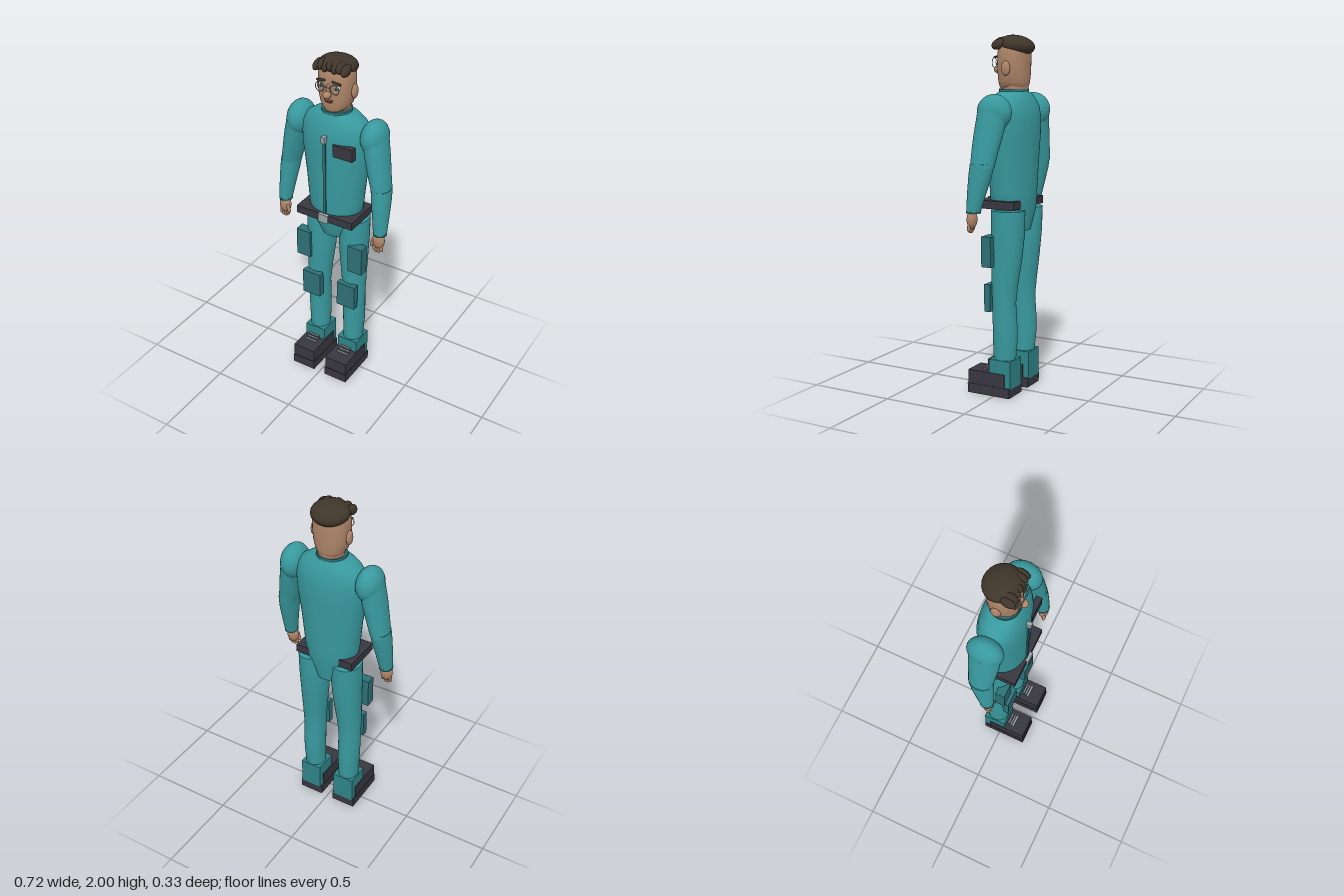
import * as THREE from 'three';

const mat = (name, color) => {
  const m = new THREE.MeshStandardMaterial({ color });
  m.name = name;
  return m;
};

export function createModel() {
  const model = new THREE.Group();
  model.name = 'uniformedMan';
  const teal = mat('teal cloth', 0x38999e);
  const midTeal = mat('cuff teal', 0x2f8488);
  const darkTeal = mat('dark teal', 0x2d7076);
  const skin = mat('skin', 0xae8568);
  const hairMat = mat('dark brown hair', 0x3f352a);
  const charcoal = mat('charcoal', 0x38363f);
  const grey = mat('light grey metal', 0x9aa5a8);
  const white = mat('eye white', 0xe4e4e0);
  const iris = mat('iris blue', 0x3a8a9a);
  const lip = mat('lip brown', 0x7a4a3e);

  const add = (name, geo, material, x = 0, y = 0, z = 0, parent = model) => {
    const m = new THREE.Mesh(geo, material);
    m.name = name;
    m.position.set(x, y, z);
    parent.add(m);
    return m;
  };
  // box given by its limits
  const box = (name, material, x0, x1, y0, y1, z0, z1) =>
    add(name, new THREE.BoxGeometry(Math.abs(x1 - x0), y1 - y0, z1 - z0), material,
      (x0 + x1) / 2, (y0 + y1) / 2, (z0 + z1) / 2);
  const ball = (name, material, x, y, z, rx, ry, rz, parent) => {
    const g = new THREE.SphereGeometry(1, 24, 16).scale(rx, ry, rz);
    return add(name, g, material, x, y, z, parent);
  };
  // closed skin over elliptical sections [y, cx, cz, rx, rz], listed upward
  const loft = (name, material, sections, power = 2, seg = 32) => {
    const pos = [], idx = [];
    const ring = ([y, cx, cz, rx, rz]) => {
      const start = pos.length / 3;
      for (let j = 0; j < seg; j++) {
        const a = (j / seg) * Math.PI * 2, c = Math.cos(a), s = Math.sin(a);
        pos.push(cx + rx * Math.sign(c) * Math.abs(c) ** (2 / power), y,
          cz + rz * Math.sign(s) * Math.abs(s) ** (2 / power));
      }
      return start;
    };
    const starts = sections.map(ring);
    for (let i = 0; i < starts.length - 1; i++) {
      for (let j = 0; j < seg; j++) {
        const k = (j + 1) % seg, p = starts[i], q = starts[i + 1];
        idx.push(p + j, q + j, p + k, q + j, q + k, p + k);
      }
    }
    [sections[0], sections[sections.length - 1]].forEach((sec, top) => {
      const r = ring(sec), c = pos.length / 3;
      pos.push(sec[1], sec[0], sec[2]);
      for (let j = 0; j < seg; j++) {
        const k = (j + 1) % seg;
        if (top) idx.push(c, r + k, r + j);
        else idx.push(c, r + j, r + k);
      }
    });
    const g = new THREE.BufferGeometry();
    g.setAttribute('position', new THREE.Float32BufferAttribute(pos, 3));
    g.setIndex(idx);
    g.computeVertexNormals();
    return add(name, g, material);
  };

  // torso running down into the pelvis
  loft('torso', teal, [
    [0.93, 0, -0.04, 0.085, 0.085], [1.06, 0, -0.03, 0.15, 0.12], [1.15, 0, -0.03, 0.163, 0.122],
    [1.3, 0, -0.032, 0.178, 0.125], [1.45, 0, -0.034, 0.2, 0.128], [1.55, 0, -0.035, 0.208, 0.127],
    [1.61, 0, -0.034, 0.2, 0.118], [1.65, 0, -0.033, 0.175, 0.103], [1.68, 0, -0.032, 0.13, 0.09],
    [1.695, 0, -0.032, 0.085, 0.08],
  ], 2, 48);
  loft('collar', darkTeal, [[1.685, 0, -0.032, 0.085, 0.083], [1.708, 0, -0.032, 0.083, 0.082]]);

  // belt, zip and badge
  box('belt', charcoal, -0.178, 0.178, 1.06, 1.105, -0.125, 0.105);
  box('buckle', grey, -0.03, 0.03, 1.057, 1.107, 0.1, 0.117);
  box('zip', darkTeal, -0.008, 0.008, 1.1, 1.56, 0.08, 0.1);
  box('zipPull', grey, -0.011, 0.011, 1.55, 1.587, 0.085, 0.115);
  box('chestBadge', charcoal, 0.05, 0.17, 1.478, 1.55, 0.06, 0.095);

  for (const s of [1, -1]) {
    const side = s > 0 ? 'left' : 'right';
    // legs
    loft(side + 'Leg', teal, [
      [0.15, s * 0.115, -0.035, 0.055, 0.062], [0.21, s * 0.115, -0.036, 0.058, 0.064],
      [0.32, s * 0.117, -0.04, 0.062, 0.071], [0.42, s * 0.118, -0.038, 0.064, 0.07],
      [0.53, s * 0.118, -0.034, 0.066, 0.066], [0.64, s * 0.115, -0.037, 0.071, 0.075],
      [0.78, s * 0.108, -0.045, 0.079, 0.087], [0.92, s * 0.105, -0.05, 0.085, 0.096],
      [1.05, s * 0.11, -0.052, 0.08, 0.097],
    ]);
    box(side + 'ThighPocket', darkTeal, s * 0.125, s * 0.215, 0.74, 0.91, 0, 0.057);
    box(side + 'KneePad', darkTeal, s * 0.058, s * 0.175, 0.48, 0.635, 0.025, 0.062);

    // shoes
    box(side + 'AnkleCuff', midTeal, s * 0.048, s * 0.177, 0.05, 0.21, -0.102, 0.033);
    box(side + 'Sole', charcoal, s * 0.038, s * 0.184, 0, 0.055, -0.1, 0.167);
    box(side + 'Shoe', charcoal, s * 0.041, s * 0.181, 0.055, 0.133, -0.066, 0.163);
    for (let i = 0; i < 3; i++) {
      const y = 0.134 + i * 0.01, z = 0.08 - i * 0.015;
      box(side + 'Lace', grey, s * 0.075, s * 0.148, y, y + 0.008, z - 0.005, z + 0.005);
    }

    // arms, the left one swung further forward
    const e = s > 0 ? 0 : -0.035, w = s > 0 ? 0.043 : 0.004;
    ball(side + 'Shoulder', teal, s * 0.23, 1.588, -0.035, 0.07, 0.097, 0.1);
    loft(side + 'UpperArm', teal, [
      [1.3, s * 0.3, e, 0.053, 0.068], [1.38, s * 0.282, e * 0.8 - 0.006, 0.058, 0.075],
      [1.48, s * 0.26, e * 0.4 - 0.018, 0.063, 0.084], [1.6, s * 0.233, -0.033, 0.066, 0.09],
    ]);
    loft(side + 'Forearm', teal, [
      [1.06, s * 0.32, w, 0.037, 0.039], [1.15, s * 0.314, w * 0.66 + e * 0.34, 0.044, 0.052],
      [1.25, s * 0.305, w * 0.25 + e * 0.75, 0.052, 0.065], [1.32, s * 0.298, e, 0.055, 0.069],
    ]);
    loft(side + 'SleeveCuff', darkTeal,
      [[1.055, s * 0.32, w, 0.038, 0.04], [1.065, s * 0.32, w, 0.0385, 0.041]]);

    // hands
    const hand = new THREE.Group();
    hand.name = side + 'Hand';
    hand.position.set(s * 0.318, 1.02, w + 0.01);
    model.add(hand);
    ball('palm', skin, 0, 0, 0, 0.036, 0.05, 0.027, hand);
    for (let i = 0; i < 4; i++) {
      const f = add('finger', new THREE.CapsuleGeometry(0.0095, 0.04, 4, 10), skin,
        (i - 1.5) * 0.015, i % 3 ? -0.045 : -0.036, 0.006, hand);
      f.rotation.x = -0.1;
    }
    const thumb = add('thumb', new THREE.CapsuleGeometry(0.01, 0.035, 4, 10), skin, -s * 0.03, -0.015, 0.014, hand);
    thumb.rotation.z = -s * 0.25;

    // ears, eyes, brows and glasses
    ball(side + 'Ear', skin, s * 0.105, 1.82, -0.035, 0.014, 0.04, 0.027);
    ball(side + 'Eye', white, s * 0.045, 1.853, 0.043, 0.021, 0.012, 0.012);
    ball(side + 'Iris', iris, s * 0.045, 1.853, 0.051, 0.01, 0.011, 0.006);
    ball(side + 'Pupil', hairMat, s * 0.045, 1.853, 0.056, 0.004, 0.005, 0.003);
    const brow = add(side + 'Brow', new THREE.CapsuleGeometry(0.006, 0.044, 4, 10), hairMat, s * 0.047, 1.882, 0.052);
    brow.rotation.z = Math.PI / 2 - s * 0.12;
    add(side + 'GlassesRim', new THREE.TorusGeometry(0.026, 0.0022, 6, 24), grey, s * 0.045, 1.85, 0.066);
  }
  box('glassesBridge', grey, -0.02, 0.02, 1.851, 1.855, 0.064, 0.068);

  // neck and head
  loft('neck', skin, [[1.67, 0, -0.04, 0.07, 0.068], [1.77, 0, -0.042, 0.074, 0.073]]);
  loft('head', skin, [
    [1.708, 0, -0.03, 0.052, 0.072], [1.72, 0, -0.032, 0.07, 0.079], [1.745, 0, -0.033, 0.085, 0.083],
    [1.79, 0, -0.033, 0.096, 0.085], [1.84, 0, -0.033, 0.101, 0.086], [1.9, 0, -0.034, 0.102, 0.086],
    [1.94, 0, -0.036, 0.096, 0.08], [1.965, 0, -0.04, 0.075, 0.06],
  ], 2.3);
  ball('nose', skin, 0, 1.813, 0.068, 0.022, 0.02, 0.024);
  ball('noseBridge', skin, 0, 1.84, 0.053, 0.011, 0.03, 0.014);
  ball('upperLip', lip, 0, 1.776, 0.052, 0.028, 0.006, 0.007);
  ball('lowerLip', lip, 0, 1.767, 0.051, 0.021, 0.006, 0.007);

  // hair cap with a row of locks over the forehead
  ball('hairCap', hairMat, 0, 1.943, -0.047, 0.105, 0.055, 0.1).rotation.x = -0.17;
  for (let i = 0; i < 7; i++) {
    const x = (i - 3) * 0.028;
    const lock = ball('hairLock', hairMat, x, 1.955 + (i % 2) * 0.008 - Math.abs(x) * 0.08, 0.02, 0.021, 0.028, 0.043);
    lock.rotation.set(0.3, 0, x * 2);
  }
  return model;
}
